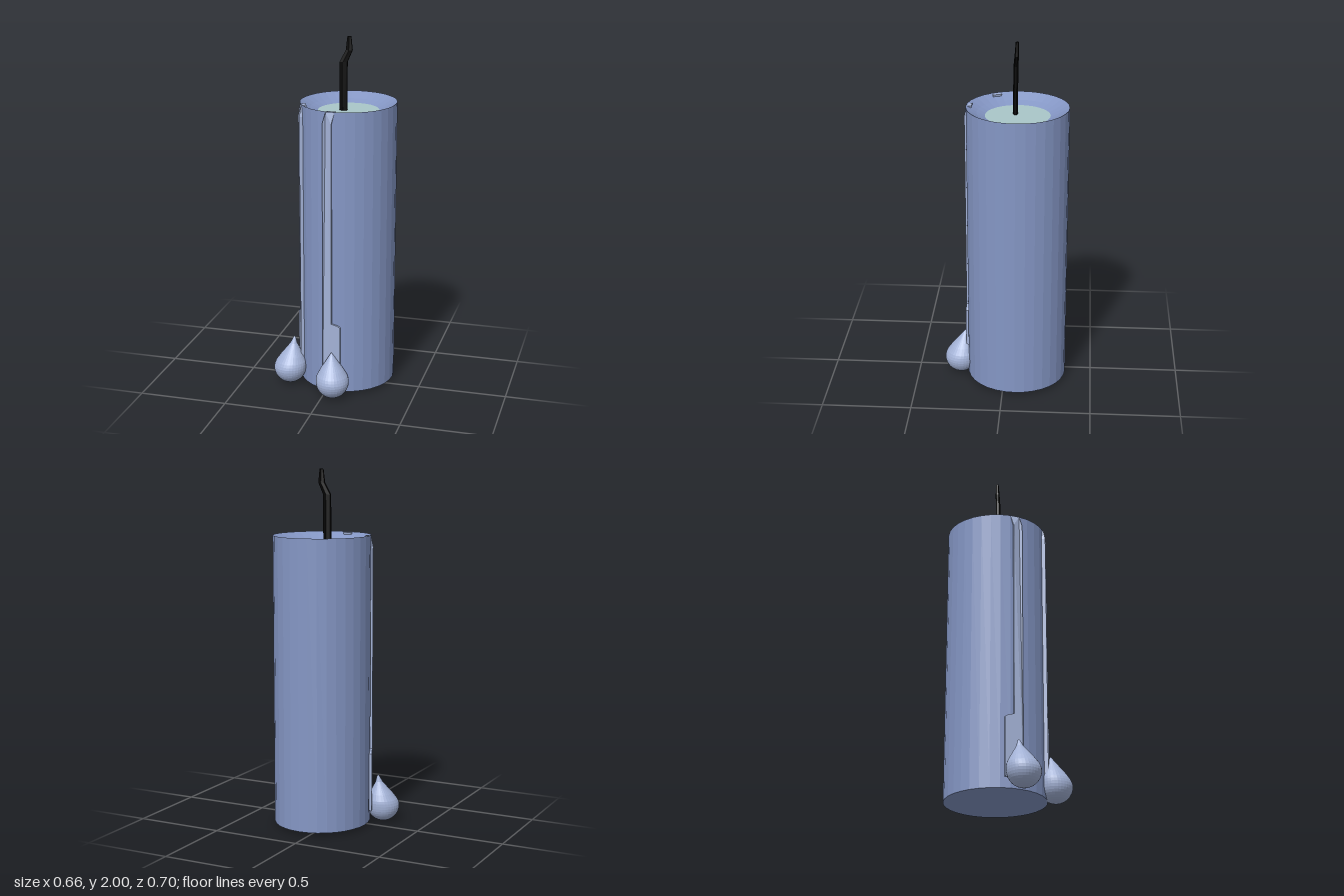
import * as THREE from 'three';

const material = (color) => new THREE.MeshStandardMaterial({ color, flatShading: true });
const wax = material(0x8496c4);
const dripWax = material(0xa3b2d6);
const poolWax = material(0xa9c6c8);
const char = material(0x050505);

const CX = 0.06, CZ = -0.07; // candle axis

function add(parent, name, geometry, mat) {
  const mesh = new THREE.Mesh(geometry, mat);
  mesh.name = name;
  parent.add(mesh);
  return mesh;
}

const lathe = (points, segments) =>
  new THREE.LatheGeometry(points.map(([r, y]) => new THREE.Vector2(r, y)), segments);

// Thin run of wax down the side, wider near the foot, sloping into the rim
function runGeometry(mirror, radius) {
  const outline = [[-0.07, 0.08], [0.03, 0.08], [0.03, 0.41], [0.015, 0.42], [-0.02, 0.43],
    [-0.02, 1.575], [-0.005, 1.637], [-0.055, 1.637], [-0.07, 1.575]];
  const shape = new THREE.Shape(outline.map(([x, y]) => new THREE.Vector2(x * mirror, y)));
  const geometry = new THREE.ExtrudeGeometry(shape, { depth: 0.03, bevelEnabled: false });
  geometry.translate(0, 0, radius - 0.03);
  const p = geometry.attributes.position;
  for (let i = 0; i < p.count; i++) {
    if (p.getY(i) > 1.6) p.setZ(i, p.getZ(i) - 0.012);
  }
  return geometry;
}

// Teardrop whose tip leans towards the candle
function dropGeometry(leanX, leanZ, tip) {
  const r = 0.093, cy = 0.098, profile = [];
  for (let i = 0; i <= 12; i++) {
    const a = -Math.PI / 2 + (i / 12) * (Math.PI / 2 + 0.4);
    profile.push([Math.max(0, r * Math.cos(a)), cy + r * Math.sin(a)]);
  }
  profile.push([0.066, 0.168], [0.042, 0.202], [0.02, 0.235], [0.008, tip - 0.012], [0, tip]);
  const geometry = lathe(profile, 32);
  const p = geometry.attributes.position;
  for (let i = 0; i < p.count; i++) {
    const t = Math.max(0, (p.getY(i) - cy) / (tip - cy));
    p.setX(i, p.getX(i) + leanX * t);
    p.setZ(i, p.getZ(i) + leanZ * t);
  }
  return geometry;
}

// Bent, tapering wick: a hexagonal column moved ring by ring
function wickGeometry() {
  const rings = [ // x, y, z, half width, half depth
    [0.064, 2.0, -0.066, 0.012, 0.008],
    [0.064, 1.925, -0.064, 0.021, 0.012],
    [0.034, 1.86, -0.058, 0.025, 0.013],
    [0.034, 1.58, -0.056, 0.025, 0.014]];
  const geometry = new THREE.CylinderGeometry(1, 1, 1, 6, 3);
  const p = geometry.attributes.position;
  for (let i = 0; i < p.count; i++) {
    const [x, y, z, w, d] = rings[Math.round((0.5 - p.getY(i)) * 3)];
    p.setXYZ(i, x + p.getX(i) * w, y, z + p.getZ(i) * d);
  }
  return geometry;
}

export function createModel() {
  const model = new THREE.Group();
  model.name = 'candle';

  // Slightly oval body with a dished top
  const body = add(model, 'candleBody', lathe(
    [[0, 0.02], [0.281, 0.02], [0.281, 1.64], [0.222, 1.608], [0.178, 1.59], [0, 1.586]], 32), wax);
  body.position.set(CX, 0, CZ);
  body.scale.x = 0.955;

  // Melted pool
  const pool = add(model, 'meltedPool', new THREE.CircleGeometry(0.178, 32).rotateX(-Math.PI / 2), poolWax);
  pool.position.set(CX, 1.592, CZ);
  pool.scale.x = 0.955;

  add(model, 'wick', wickGeometry(), char);

  // Front and right-hand drips
  const drips = [
    { name: 'front', mirror: 1, radius: 0.292, turn: 0, x: 0.055, z: 0.255, lean: [-0.012, -0.025], tip: 0.264 },
    { name: 'right', mirror: -1, radius: 0.282, turn: -1.17, x: -0.236, z: 0.113, lean: [0.02, -0.03], tip: 0.278 }];
  for (const d of drips) {
    const run = add(model, d.name + 'WaxRun', runGeometry(d.mirror, d.radius), dripWax);
    run.position.set(CX, 0, CZ);
    run.rotation.y = d.turn;
    const drop = add(model, d.name + 'WaxDrop', dropGeometry(...d.lean, d.tip), dripWax);
    drop.position.set(d.x, 0, d.z);
  }
  model.traverse((o) => { if (o.isMesh) o.geometry.computeVertexNormals(); });
  return model;
}
